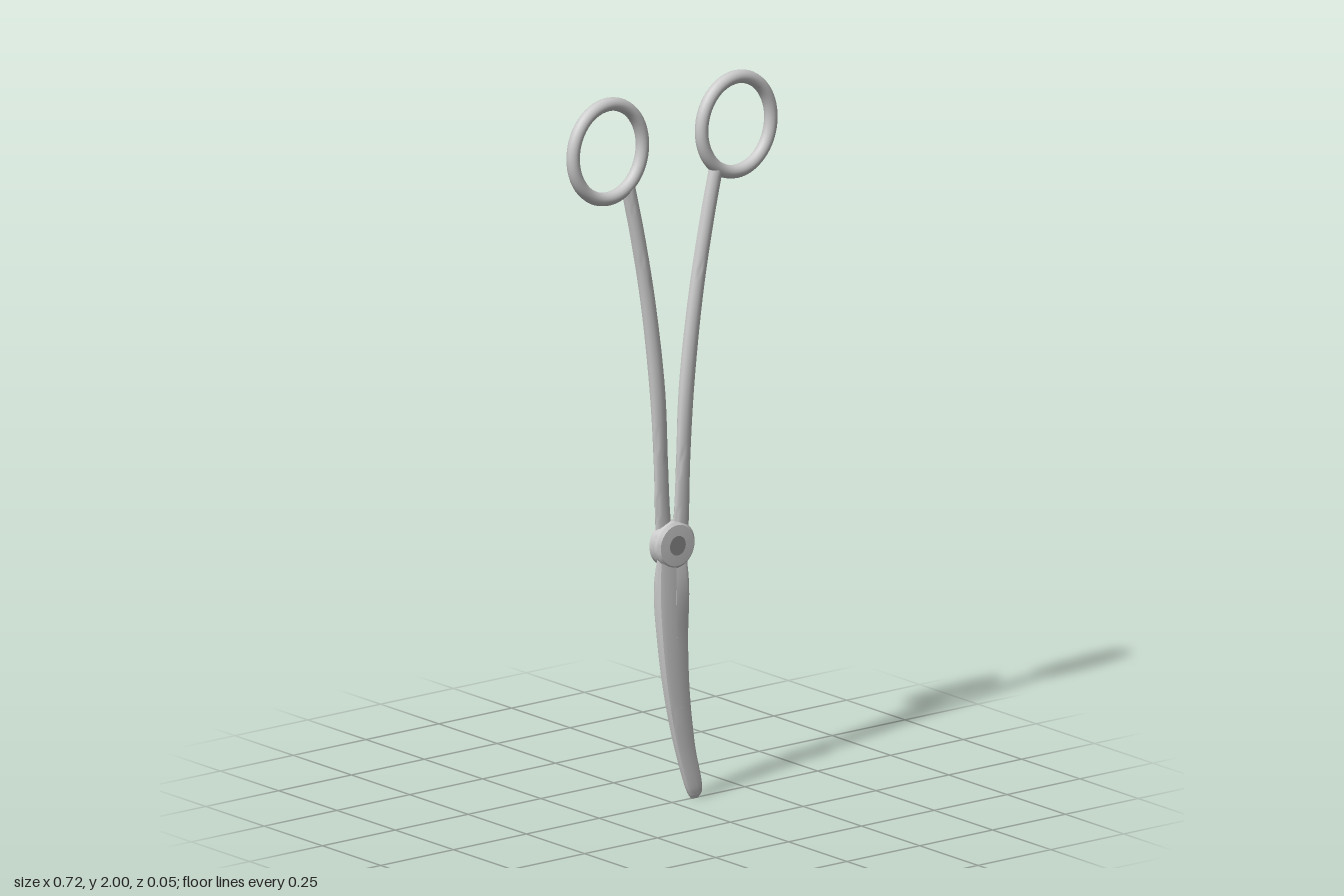
import * as THREE from 'three';
import { toCreasedNormals } from 'three/addons/utils/BufferGeometryUtils.js';

const steel = new THREE.MeshStandardMaterial({ color: 0xcccccc });
const rivetSteel = new THREE.MeshStandardMaterial({ color: 0x8c8c8c });

// Lofts a section (u, v in -1..1) upwards through stations [y, xMin, xMax, zMin, zMax].
function loft(stations, section, steps, crease) {
  const low = new THREE.CatmullRomCurve3(stations.map(([y, a, , c]) => new THREE.Vector3(a, y, c)));
  const high = new THREE.CatmullRomCurve3(stations.map(([y, , b, , d]) => new THREE.Vector3(b, y, d)));
  const n = section.length, pos = [], index = [];
  for (let i = 0; i <= steps; i++) {
    const p = low.getPoint(i / steps), q = high.getPoint(i / steps);
    for (const [u, v] of section) {
      pos.push(p.x + (q.x - p.x) * (u + 1) / 2, (p.y + q.y) / 2, p.z + (q.z - p.z) * (1 - v) / 2);
    }
  }
  for (let i = 0; i < steps; i++) {
    for (let j = 0; j < n; j++) {
      const a = i * n + j, b = i * n + (j + 1) % n;
      index.push(a, b, b + n, a, b + n, a + n);
    }
  }
  // End caps
  const top = steps * n;
  for (let j = 1; j < n - 1; j++) {
    index.push(0, j + 1, j, top, top + j, top + j + 1);
  }
  const geo = new THREE.BufferGeometry();
  geo.setAttribute('position', new THREE.Float32BufferAttribute(pos, 3));
  geo.setIndex(index);
  return toCreasedNormals(geo, crease);
}

function mesh(name, geo, material = steel) {
  const m = new THREE.Mesh(geo, material);
  m.name = name;
  return m;
}

// Elliptical finger ring with a round rod
function ringGeometry() {
  const geo = new THREE.TorusGeometry(1, 0.0185, 14, 56);
  const p = geo.attributes.position;
  for (let i = 0; i < p.count; i++) {
    const x = p.getX(i), y = p.getY(i), r = Math.hypot(x, y);
    const off = r - 1;
    p.setXY(i, (x / r) * (0.119 + off), (y / r) * (0.1315 + off));
  }
  geo.computeVertexNormals();
  // Match the normals along the torus seams
  const nrm = geo.attributes.normal;
  const v = new THREE.Vector3();
  for (let j = 0; j <= 14; j++) {
    for (let i = 0; i <= 56; i++) {
      const a = (i / 56) * Math.PI * 2, b = (j / 14) * Math.PI * 2;
      v.set(Math.cos(a) * Math.cos(b), Math.sin(a) * Math.cos(b), Math.sin(b));
      nrm.setXYZ(j * 57 + i, v.x, v.y, v.z);
    }
  }
  return geo;
}

export function createModel() {
  const group = new THREE.Group();

  const round = [];
  for (let i = 0; i < 14; i++) {
    const a = (i / 14) * Math.PI * 2;
    round.push([Math.cos(a), Math.sin(a)]);
  }

  // Shank: full thickness at the ring, thinned to the front half at the lap joint
  const shank = loft([
    [0.70, -0.015, 0.045, 0.000, 0.020],
    [0.80, -0.001, 0.050, 0.000, 0.019],
    [0.95, 0.011, 0.056, -0.006, 0.018],
    [1.15, 0.026, 0.072, -0.016, 0.018],
    [1.40, 0.060, 0.103, -0.018, 0.018],
    [1.60, 0.098, 0.140, -0.018, 0.018],
    [1.74, 0.130, 0.172, -0.017, 0.017],
  ], round, 40, 1.0);

  // Pivot boss: chamfered half disc facing +z
  const boss = toCreasedNormals(new THREE.LatheGeometry([
    [0, 0], [0.06, 0], [0.065, 0.006], [0.065, 0.016], [0.057, 0.0235], [0.03, 0.025], [0, 0.025],
  ].map(([r, y]) => new THREE.Vector2(r, y)), 36), 0.5).rotateX(Math.PI / 2);
  const rivet = new THREE.CylinderGeometry(0.027, 0.027, 0.01, 28).rotateX(Math.PI / 2);
  const ring = ringGeometry();

  // The two handles are the same piece turned half round the upright axis
  for (const [side, turn] of [['left', 0], ['right', Math.PI]]) {
    const half = new THREE.Group();
    half.name = side + 'Handle';
    half.rotation.y = turn;
    const fingerRing = mesh(side + 'FingerRing', ring);
    fingerRing.position.set(0.2205, 1.85, 0);
    const pin = mesh(side + 'RivetHead', rivet, rivetSteel);
    pin.position.set(0, 0.72, 0.0205);
    const disc = mesh(side + 'PivotBoss', boss);
    disc.position.y = 0.72;
    half.add(fingerRing, mesh(side + 'Shank', shank), disc, pin);
    group.add(half);
  }

  // Curved jaws: flat where they meet, chamfered on the outside
  const jawSection = [[-1, -1], [0.35, -1], [0.8, -0.75], [1, -0.3], [1, 0.3], [0.8, 0.75], [0.35, 1], [-1, 1]];
  const turned = jawSection.map(([u, v]) => [-u, -v]);
  // Rows: y, outer edge of right jaw, meeting line, outer edge of left jaw, half thickness
  const rows = [
    [0.000, 0.066, 0.077, 0.088, 0.005],
    [0.018, 0.054, 0.077, 0.100, 0.009],
    [0.150, 0.011, 0.042, 0.075, 0.012],
    [0.300, -0.023, 0.017, 0.056, 0.015],
    [0.450, -0.045, 0.004, 0.049, 0.018],
    [0.600, -0.056, 0.000, 0.052, 0.020],
    [0.720, -0.052, 0.000, 0.052, 0.020],
  ];
  // Each jaw thins to its own half of the lap joint at the top
  const isTop = (y) => y > 0.7;
  const rightJaw = rows.map(([y, a, m, , h]) => [y, a, m, isTop(y) ? 0 : -h, h]);
  const leftJaw = rows.map(([y, , m, b, h]) => [y, m, b, -h, isTop(y) ? 0 : h]);
  group.add(mesh('rightJaw', loft(rightJaw, turned, 36, 0.55)));
  group.add(mesh('leftJaw', loft(leftJaw, jawSection, 36, 0.55)));

  return group;
}
